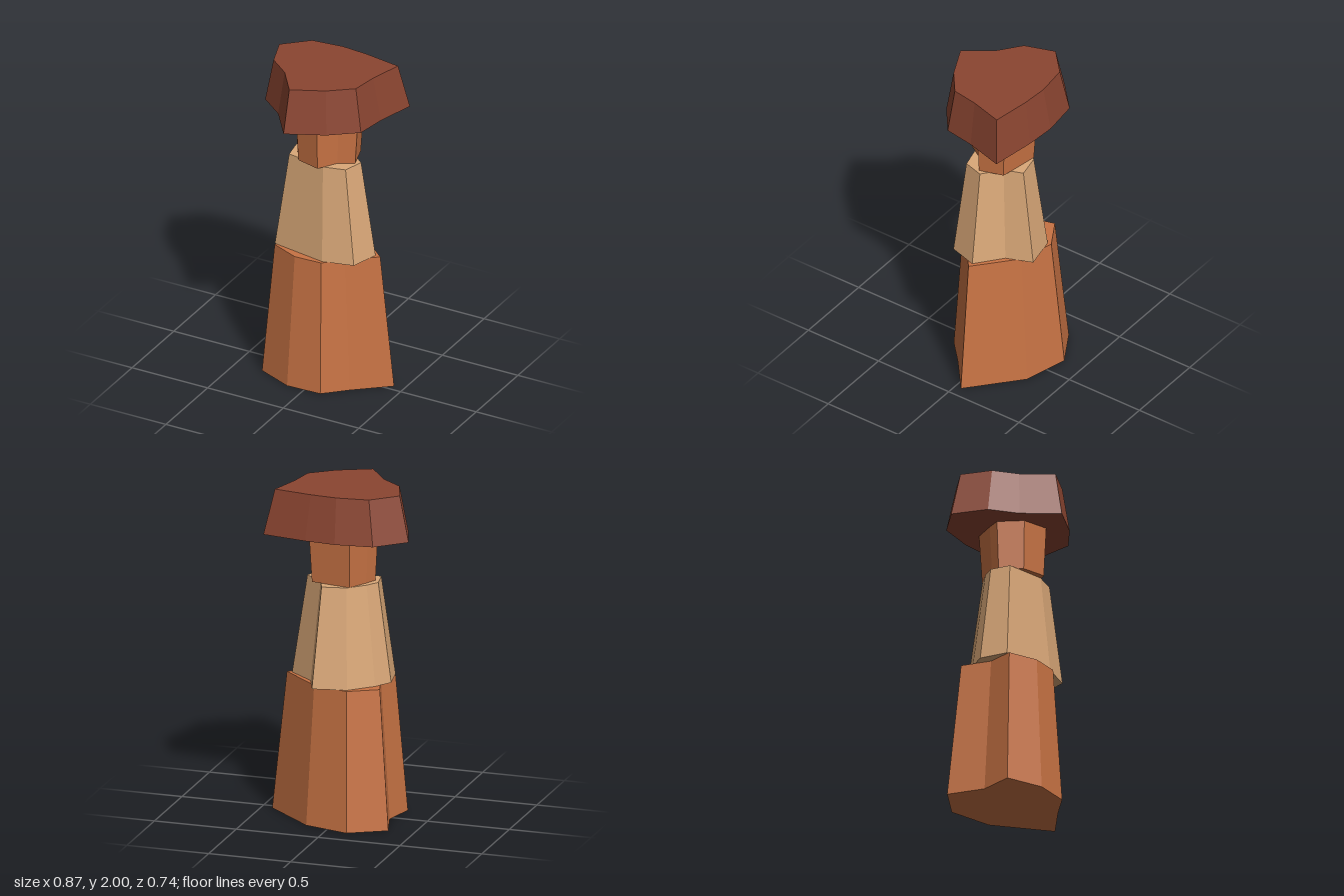
import * as THREE from 'three';

const material = (name, color) => {
  const m = new THREE.MeshStandardMaterial({ color, flatShading: true });
  m.name = name;
  return m;
};

// Rock layer: [x, z] footprint at y0, rising to y1 where it is scaled about the axis
function rockLayer(name, mat, y0, y1, topScale, footprint) {
  const shape = new THREE.Shape(footprint.map(([x, z]) => new THREE.Vector2(x, -z)));
  const geo = new THREE.ExtrudeGeometry(shape, { depth: y1 - y0, bevelEnabled: false });
  geo.rotateX(-Math.PI / 2);
  const pos = geo.attributes.position;
  for (let i = 0; i < pos.count; i++) {
    const isTop = pos.getY(i) > (y1 - y0) / 2;
    const s = isTop ? topScale : 1;
    pos.setXYZ(i, pos.getX(i) * s, isTop ? y1 : y0, pos.getZ(i) * s);
  }
  geo.computeVertexNormals();
  const mesh = new THREE.Mesh(geo, mat);
  mesh.name = name;
  return mesh;
}

export function createModel() {
  const group = new THREE.Group();
  group.name = 'rockPillar';
  const orange = material('orange rock', 0xc87344);
  const sand = material('sand rock', 0xdaa878);
  const darkRed = material('dark red rock', 0x8b4531);

  group.add(
    // wide foot
    rockLayer('baseLayer', orange, 0, 0.835, 0.8, [
      [-0.325, 0.165], [-0.11, 0.255], [0.105, 0.247], [0.235, 0.125], [0.435, -0.04],
      [0.14, -0.3], [-0.13, -0.372], [-0.345, -0.25], [-0.28, -0.03],
    ]),
    // pale middle
    rockLayer('middleLayer', sand, 0.835, 1.43, 0.715, [
      [-0.265, 0.12], [0.08, 0.18], [0.265, 0.135], [0.315, -0.035], [0.16, -0.16],
      [0.1, -0.315], [-0.1, -0.275], [-0.23, -0.15], [-0.295, -0.05],
    ]),
    // narrow neck, flaring upwards
    rockLayer('neckLayer', orange, 1.43, 1.73, 1.09, [
      [-0.107, 0.125], [0.04, 0.163], [0.11, 0.05], [0.2, 0], [0.157, -0.145],
      [-0.085, -0.187], [-0.15, -0.07], [-0.182, 0],
    ]),
    // overhanging cap
    rockLayer('capLayer', darkRed, 1.73, 2, 0.86, [
      [-0.07, 0.37], [0.155, 0.265], [0.315, 0.14], [0.345, -0.045], [0.41, -0.275],
      [0.14, -0.32], [-0.045, -0.335], [-0.27, -0.31], [-0.437, -0.155],
      [-0.365, 0.055], [-0.215, 0.172],
    ]),
  );
  return group;
}
